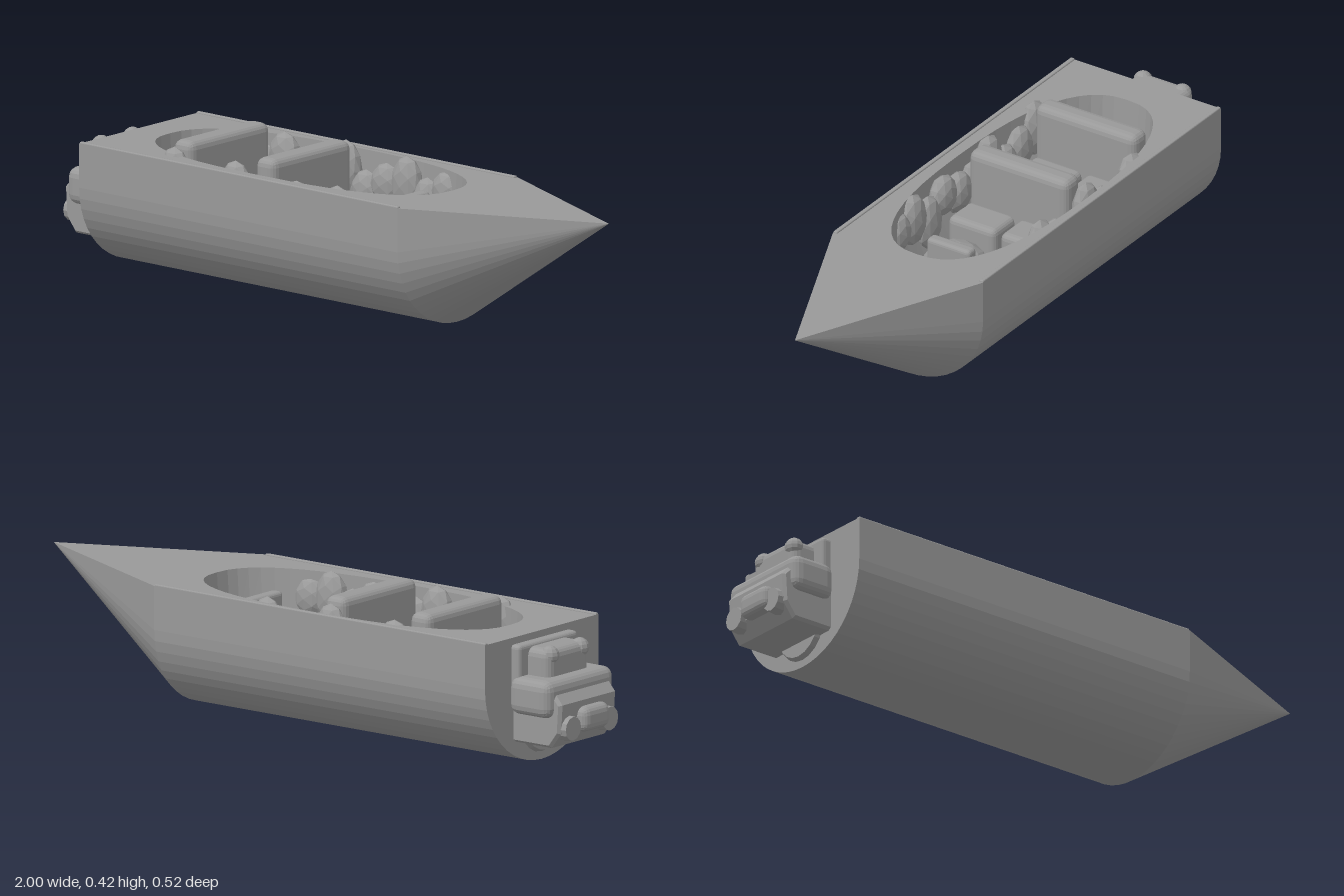
import * as THREE from 'three';
import { RoundedBoxGeometry } from 'three/addons/geometries/RoundedBoxGeometry.js';

// Skin a list of equal-length rings of [x, y, z] points
function loft(rings) {
  const n = rings[0].length, index = [];
  for (let i = 0; i < rings.length - 1; i++) {
    for (let j = 0; j < n - 1; j++) {
      const a = i * n + j, b = a + 1, d = a + n, c = d + 1;
      index.push(a, b, c, a, c, d);
    }
  }
  const geo = new THREE.BufferGeometry();
  geo.setAttribute('position', new THREE.Float32BufferAttribute(rings.flat(2), 3));
  geo.setIndex(index);
  geo.computeVertexNormals();
  return geo;
}

export function createModel() {
  const boat = new THREE.Group();
  boat.name = 'boat';
  const grey = new THREE.MeshStandardMaterial({ color: 0x999999, flatShading: true, side: THREE.DoubleSide });
  grey.name = 'grey';
  const smoothGrey = grey;

  const add = (name, geo, x = 0, y = 0, z = 0, parent = boat) => {
    const mesh = new THREE.Mesh(geo, smoothGrey);
    mesh.name = name;
    mesh.position.set(x, y, z);
    parent.add(mesh);
    return mesh;
  };
  // Rounded box given by its limits
  const box = (name, [x0, x1], [y0, y1], [z0, z1], r = 0.012, parent = boat) =>
    add(name, new RoundedBoxGeometry(x1 - x0, y1 - y0, z1 - z0, 2, r),
      (x0 + x1) / 2, (y0 + y1) / 2, (z0 + z1) / 2, parent);

  const DECK = 0.38, HALF = 0.26, STERN = -0.8, SHOULDER = 0.42;

  // Hull section: upright sides above a round bottom
  const section = [[DECK, HALF]];
  for (let i = 0; i <= 24; i++) {
    const t = (i / 24) * Math.PI;
    section.push([0.25 - 0.25 * Math.sin(t), HALF * Math.cos(t)]);
  }
  section.push([DECK, -HALF]);
  const outline = (x) => section.map(([y, z]) => [x, y, z]);
  const point = (x) => section.map(() => [x, DECK, 0]);
  add('transom', loft([point(STERN), outline(STERN)]));
  add('hullSides', loft([outline(STERN), outline(SHOULDER)]));
  add('bow', loft([outline(SHOULDER), point(1)]));

  // Cockpit outline, a squared-off oval
  const oval = (y, sx, sz) => {
    const pts = [];
    for (let i = 0; i <= 48; i++) {
      const t = (i / 48) * Math.PI * 2, c = Math.cos(t), s = -Math.sin(t);
      const e = 2 / 2.5;
      pts.push([-0.15 + sx * Math.sign(c) * Math.abs(c) ** e, y, -0.01 + sz * Math.sign(s) * Math.abs(s) ** e]);
    }
    return pts;
  };
  const rim = oval(DECK, 0.54, 0.222);
  add('cockpit', loft([rim, oval(0.24, 0.53, 0.215), oval(0.15, 0.5, 0.18), oval(0.14, 0, 0)]));

  // Deck with the cockpit cut out
  const deck = new THREE.Shape([[STERN, -HALF], [SHOULDER, -HALF], [1, 0], [SHOULDER, HALF], [STERN, HALF]]
    .map(([x, y]) => new THREE.Vector2(x, y)));
  deck.holes.push(new THREE.Path(rim.slice(0, -1).map(([x, , z]) => new THREE.Vector2(x, -z))));
  add('deck', new THREE.ShapeGeometry(deck).rotateX(-Math.PI / 2), 0, DECK, 0);

  // Two rows of seats: tall shared back and two cushions
  for (const [x, z0, z1] of [[-0.535, -0.19, 0.16], [-0.21, -0.175, 0.17]]) {
    const row = new THREE.Group();
    row.name = 'seatRow';
    boat.add(row);
    box('seatBack', [x, x + 0.075], [0.13, 0.417], [z0, z1], 0.025, row);
    const mid = (z0 + z1) / 2;
    box('seatCushion', [x + 0.06, x + 0.18], [0.13, 0.25], [z0, mid - 0.008], 0.02, row);
    box('seatCushion', [x + 0.06, x + 0.18], [0.13, 0.25], [mid + 0.008, z1], 0.02, row);
  }

  // Single helm seat
  const helm = new THREE.Group();
  helm.name = 'helmSeat';
  boat.add(helm);
  box('helmBack', [0.2, 0.24], [0.13, 0.34], [-0.09, 0.06], 0.012, helm);
  box('helmCushion', [0.23, 0.37], [0.13, 0.25], [-0.08, 0.055], 0.015, helm);

  // Lumpy padding along both cockpit walls
  for (const side of [-1, 1]) {
    for (let i = 0; i < 10; i++) {
      const lump = add('wallPadding', new THREE.IcosahedronGeometry(1, 1),
        -0.5 + i * 0.078, 0.29 + 0.03 * Math.sin(i * 2.3 + side), side * 0.195 - 0.01);
      lump.scale.set(0.055, 0.075 + 0.015 * Math.cos(i * 1.7), 0.035);
    }
    // Slightly raised edge of the deck
    box('gunwale', [STERN, SHOULDER], [0.365, 0.385], [side * 0.253 - 0.007, side * 0.253 + 0.007], 0.004);
  }

  // Low mounds on the cockpit floor
  for (const [x, z, r] of [[0.08, -0.1, 0.09], [0.06, 0.08, 0.1], [0.27, 0.13, 0.07], [-0.29, 0.02, 0.06]]) {
    add('floorMound', new THREE.IcosahedronGeometry(1, 2), x, 0.15, z).scale.set(r, 0.08, r);
  }

  // Stern motor: stepped block with rounded nozzles
  const motor = new THREE.Group();
  motor.name = 'motor';
  boat.add(motor);
  const profile = new THREE.Shape([[-0.79, 0.08], [-0.93, 0.08], [-0.96, 0.12], [-0.965, 0.2], [-0.93, 0.24],
    [-0.91, 0.25], [-0.79, 0.25]].map(([x, y]) => new THREE.Vector2(x, y)));
  add('motorBody', new THREE.ExtrudeGeometry(profile, {
    depth: 0.24, bevelThickness: 0.01, bevelSize: 0.008, bevelSegments: 1,
  }), 0, 0, -0.12, motor);
  box('motorHood', [-0.905, -0.79], [0.22, 0.35], [-0.1, 0.09], 0.025, motor);
  box('motorWings', [-0.95, -0.8], [0.16, 0.27], [-0.16, 0.153], 0.03, motor);
  box('motorMount', [-0.83, -0.79], [0.2, 0.36], [-0.14, 0.13], 0.012, motor);
  box('motorTail', [-1, -0.92], [0.11, 0.185], [-0.05, 0.075], 0.025, motor);
  for (const z of [-0.085, 0.085]) {
    add('nozzle', new THREE.CylinderGeometry(0.035, 0.045, 0.09, 12).rotateZ(Math.PI / 2), -0.94, 0.13, z, motor);
    add('hoodKnob', new THREE.SphereGeometry(0.028, 10, 8), -0.885, 0.33, z * 0.8, motor);
  }
  // Round plate low on the transom
  add('transomPlate', new THREE.CylinderGeometry(0.09, 0.1, 0.02, 20).rotateZ(Math.PI / 2), -0.805, 0.12, 0, motor);

  return boat;
}
